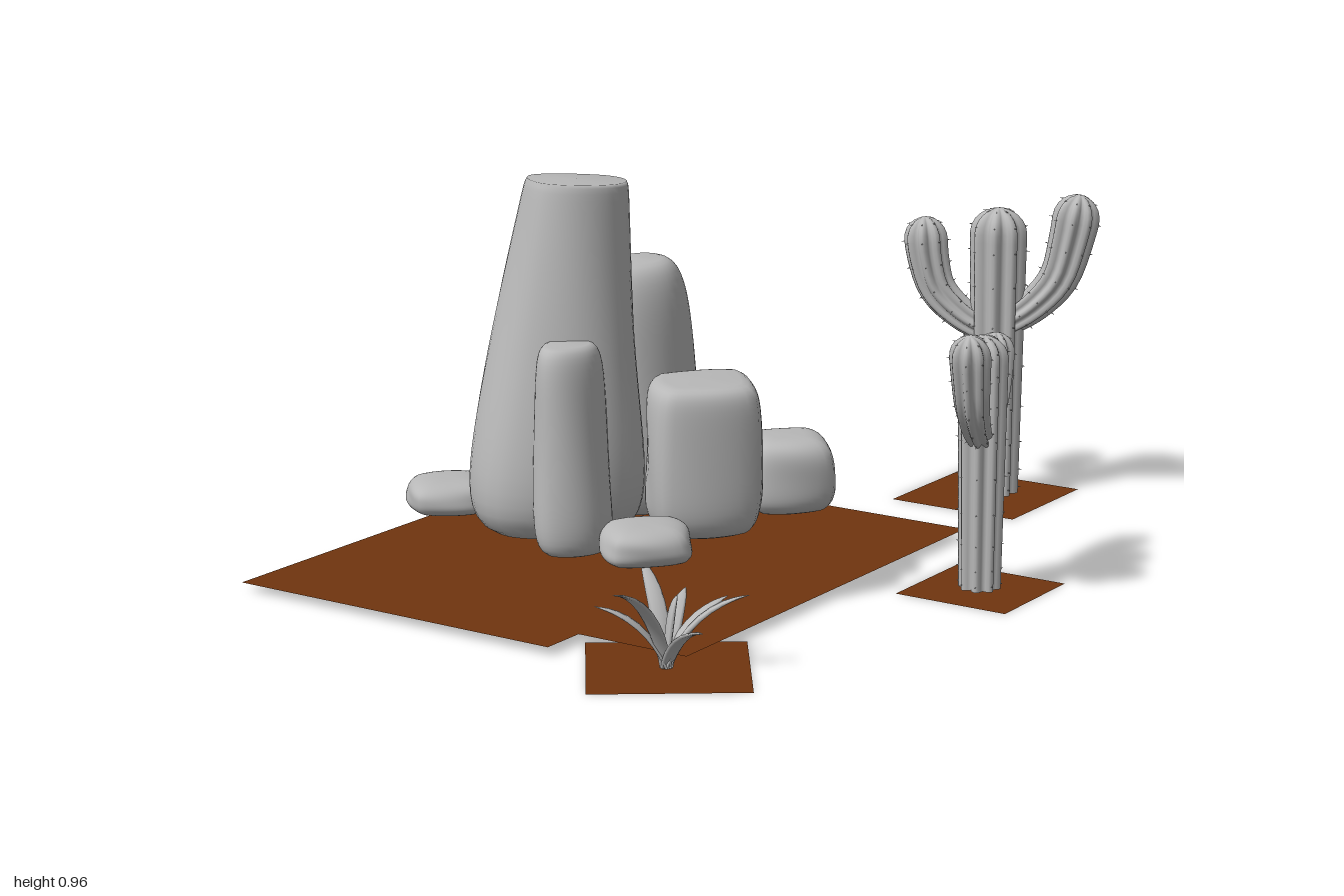
import * as THREE from 'three';
import { mergeGeometries } from 'three/addons/utils/BufferGeometryUtils.js';

const V = (x, y, z) => new THREE.Vector3(x, y, z);
const stone = new THREE.MeshStandardMaterial({ color: 0xb8b8b8 });
stone.name = 'pale grey';
const soil = new THREE.MeshStandardMaterial({ color: 0x70350f, side: THREE.DoubleSide });
soil.name = 'brown soil';

// Sweeps a cross-section along a path; "side" fixes the section's first axis.
function sweep(path, side, radius, section, rows, cols, thornStep = 0, ribs = 0) {
  const pos = [], index = [], thorns = [];
  for (let j = 0; j <= rows; j++) {
    const t = (1 - Math.cos(Math.PI * j / rows)) / 2;
    const p = path.getPoint(t), T = path.getTangent(t);
    const N = T.clone().cross(side).normalize(), r = radius(t);
    for (let i = 0; i < cols; i++) {
      const [u, v] = section(i / cols * Math.PI * 2, t);
      const dir = side.clone().multiplyScalar(u).addScaledVector(N, v);
      const q = p.clone().addScaledVector(dir, r);
      pos.push(q.x, q.y, q.z);
      if (j < rows) {
        const a = j * cols + i, b = j * cols + (i + 1) % cols;
        index.push(a, b, a + cols, b, b + cols, a + cols);
      }
      // small thorns on the rib crests
      if (thornStep && j > 2 && j < rows - 1 && j % thornStep === 0 && i % (cols / ribs) === 0) {
        const cone = new THREE.ConeGeometry(0.003, 0.016, 4);
        cone.deleteAttribute('uv');
        cone.applyQuaternion(new THREE.Quaternion().setFromUnitVectors(V(0, 1, 0), dir.normalize()));
        thorns.push(cone.translate(q.x, q.y, q.z));
      }
    }
  }
  const geo = new THREE.BufferGeometry();
  geo.setAttribute('position', new THREE.Float32BufferAttribute(pos, 3));
  geo.setIndex(index);
  geo.computeVertexNormals();
  return thorns.length ? mergeGeometries([geo, ...thorns]) : geo;
}

function mesh(name, geo, mat, parent) {
  const m = new THREE.Mesh(geo, mat);
  m.name = name;
  parent.add(m);
  return m;
}

// Rounded end profile: larger k gives a squarer end
const endRound = (t, kBottom, kTop) => {
  const k = t < 0.5 ? kBottom : kTop;
  return Math.pow(Math.max(0, 1 - Math.pow(Math.abs(2 * t - 1), k)), 1 / k);
};

// Boulder with a soft diamond section, tapering and leaning from base to top
function rock(parent, name, o) {
  const { base, half, y, top = base, taper = 0.8, p = 1.5, kb = 5, kt = 5, bump = 0.03, seed = 0 } = o;
  const path = new THREE.LineCurve3(V(base[0], y[0], base[1]), V(top[0], y[1], top[1]));
  const section = (a, t) => {
    const c = Math.cos(a), s = Math.sin(a);
    const r = Math.pow(Math.abs(c) ** p + Math.abs(s) ** p, -1 / p) * (1 + bump * Math.sin(3 * a + 5 * t + seed));
    return [r * c * half[0], r * s * half[1]];
  };
  const radius = t => endRound(t, kb, kt) * (1 + (taper - 1) * t);
  mesh(name, sweep(path, V(1, 0, 0), radius, section, 28, 40), stone, parent);
}

// Ribbed desert cactus with two raised arms along local x
function cactus(parent, name, x, z, scale, angle) {
  const g = new THREE.Group();
  g.name = name;
  const ribs = 8;
  const star = a => {
    const r = 0.72 + 0.28 * Math.pow(Math.abs(Math.cos(a * ribs / 2)), 1.3);
    return [r * Math.cos(a), r * Math.sin(a)];
  };
  const dome = (t, start) => t < start ? 1 : Math.sqrt(Math.max(0, 1 - ((t - start) / (1 - start)) ** 2));
  const limb = (part, pts, r0, r1, start, rows) => mesh(part,
    sweep(new THREE.CatmullRomCurve3(pts), V(0, 0, 1),
      t => (r0 + (r1 - r0) * t) * dome(t, start), star, rows, ribs * 6, 3, ribs), stone, g);
  limb('trunk', [V(0, 0.01, 0), V(0, 0.37, 0), V(0, 0.73, 0)], 0.06, 0.072, 0.91, 32);
  limb('highArm', [V(0.02, 0.44, 0), V(0.09, 0.49, 0), V(0.15, 0.56, 0), V(0.18, 0.66, 0), V(0.2, 0.77, 0)], 0.036, 0.062, 0.85, 24);
  limb('lowArm', [V(-0.02, 0.42, 0), V(-0.09, 0.46, 0), V(-0.15, 0.52, 0), V(-0.175, 0.6, 0), V(-0.185, 0.7, 0)], 0.036, 0.058, 0.85, 24);
  g.position.set(x, 0, z);
  g.scale.setScalar(scale);
  g.rotation.y = angle;
  parent.add(g);
}

// Ball-shaped cactus with a crown of spikes
function barrel(parent, x, z) {
  const g = new THREE.Group();
  g.name = 'barrelCactus';
  const ribs = 16;
  const section = a => {
    const r = 0.9 + 0.1 * Math.abs(Math.cos(a * ribs / 2));
    return [r * Math.cos(a), r * Math.sin(a)];
  };
  mesh('barrelBody', sweep(new THREE.LineCurve3(V(0, 0.005, 0), V(0, 0.205, 0)), V(1, 0, 0),
    t => 0.125 * endRound(t, 2.6, 2.4), section, 20, ribs * 6, 3, ribs), stone, g);
  for (const [n, r, y, tilt] of [[16, 0.052, 0.205, 1.0], [10, 0.03, 0.21, 0.6]]) {
    for (let i = 0; i < n; i++) {
      const a = i / n * Math.PI * 2;
      const spike = mesh('crownSpike', new THREE.ConeGeometry(0.007, 0.045, 4), stone, g);
      spike.rotation.set(0, -a, -tilt);
      spike.position.set(r * Math.cos(a), y, r * Math.sin(a));
    }
  }
  g.position.set(x, 0, z);
  parent.add(g);
}

// Rosette of arching pointed leaves: tip offsets in x, z and tip height
function agave(parent, x, z) {
  const g = new THREE.Group();
  g.name = 'agave';
  const tips = [[0.02, 0.22, 0.22], [0.15, -0.09, 0.165], [-0.14, -0.11, 0.19], [0.05, -0.16, 0.13],
    [0.14, 0.07, 0.12], [-0.12, 0.09, 0.14], [-0.06, -0.16, 0.13], [0.015, -0.02, 0.16]];
  for (const [dx, dz, h] of tips) {
    const side = V(dz, 0, -dx).normalize();
    const path = new THREE.QuadraticBezierCurve3(V(0, 0.005, 0), V(dx * 0.3, h * 0.85, dz * 0.3), V(dx, h, dz));
    mesh('agaveLeaf', sweep(path, side, t => 0.024 * (1 - t) ** 0.8 * (0.6 + 1.6 * t),
      a => [Math.cos(a), 0.3 * Math.sin(a)], 12, 8), stone, g);
  }
  g.position.set(x, 0, z);
  parent.add(g);
}

// Flat ground patch from [x, z] corners
function ground(parent, name, corners, y) {
  const shape = new THREE.Shape(corners.map(([x, z]) => new THREE.Vector2(x, -z)));
  mesh(name, new THREE.ShapeGeometry(shape).rotateX(-Math.PI / 2).translate(0, y, 0), soil, parent);
}
const rect = (x0, x1, z0, z1) => [[x0, z1], [x1, z1], [x1, z0], [x0, z0]];

export function createModel() {
  const model = new THREE.Group();
  model.name = 'desertScene';

  // Ground patches
  ground(model, 'rockGround', [[-0.76, 0.83], [0.1, 0.83], [0.1, 0.72], [0.38, 0.72],
    [0.38, -0.46], [-0.33, -0.46], [-0.33, -0.04], [-0.76, -0.04]], 0.02);
  ground(model, 'barrelGround', rect(-0.71, -0.19, -0.63, -0.11), 0);
  ground(model, 'tallCactusGround', rect(0.06, 0.4, -1, -0.66), 0);
  ground(model, 'shortCactusGround', rect(0.48, 0.76, -0.25, 0.03), 0);
  ground(model, 'agaveGround', [[0.11, 0.71], [0.315, 0.99], [0.595, 0.79], [0.395, 0.51]], 0);

  // Rock cluster
  const rocks = new THREE.Group();
  rocks.name = 'rocks';
  model.add(rocks);
  rock(rocks, 'mainRock', { base: [-0.11, 0.53], top: [-0.07, 0.48], half: [0.225, 0.23], y: [0.175, 0.96], taper: 0.52, p: 1.7, kb: 5, kt: 40, bump: 0.035 });
  rock(rocks, 'frontRock', { base: [0.035, 0.64], top: [0.02, 0.64], half: [0.085, 0.105], y: [0.175, 0.635], taper: 0.8, p: 1.8, kb: 6, kt: 7, seed: 1 });
  rock(rocks, 'backRock', { base: [-0.06, 0.23], top: [-0.06, 0.26], half: [0.135, 0.16], y: [0.17, 0.75], taper: 0.72, p: 1.8, kt: 5, seed: 2 });
  rock(rocks, 'leftRock', { base: [-0.33, 0.32], top: [-0.28, 0.32], half: [0.125, 0.12], y: [0.18, 0.635], taper: 0.6, kt: 5, seed: 3 });
  rock(rocks, 'rightRock', { base: [0.17, 0.345], half: [0.15, 0.16], y: [0.175, 0.52], taper: 0.93, p: 1.35, kt: 8, seed: 4 });
  rock(rocks, 'rearRightRock', { base: [0.225, 0.09], half: [0.125, 0.125], y: [0.175, 0.35], taper: 0.95, p: 1.35, kb: 4, kt: 4, seed: 5 });
  rock(rocks, 'lowRightRock', { base: [0.205, 0.615], half: [0.115, 0.125], y: [0.175, 0.262], taper: 0.9, p: 1.4, kb: 3, kt: 3, seed: 0.5 });
  rock(rocks, 'lowLeftRock', { base: [-0.41, 0.51], half: [0.12, 0.12], y: [0.17, 0.25], taper: 0.9, p: 1.4, kb: 3, kt: 3, seed: 2.5 });

  // Plants
  cactus(model, 'tallCactus', 0.25, -0.835, 1, 0.35);
  cactus(model, 'shortCactus', 0.625, -0.095, 0.81, -1.25);
  barrel(model, -0.453, -0.367);
  agave(model, 0.36, 0.765);
  return model;
}
